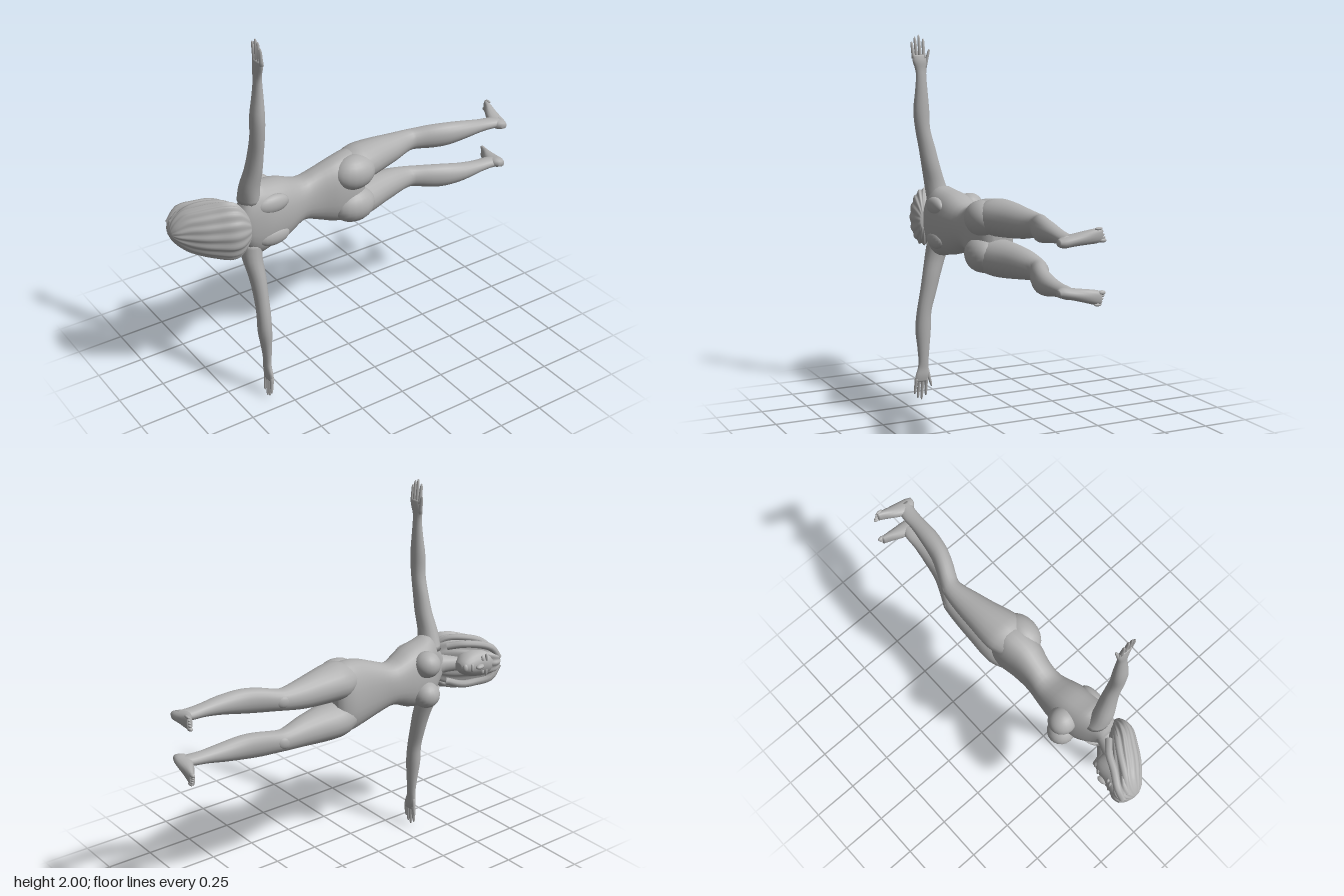
import * as THREE from 'three';

const skin = new THREE.MeshStandardMaterial({ color: 0xb0b0b0 });
skin.name = 'plain grey';

// Ring planes per axis, ordered so that faces point outwards
const AXES = { x: ['x', 'y', 'z'], y: ['y', 'z', 'x'], z: ['z', 'x', 'y'] };

// Smooth loft along an axis; each section is [t, aMin, aMax, bMin, bMax]
function loft(axis, sections, { sides = 20, steps = 3, power = 1, ripple = 0, waves = 0 } = {}) {
  const [T, A, B] = AXES[axis];
  const n = sections.length, rows = (n - 1) * steps, pos = [], idx = [];
  const at = (k, i) => sections[Math.max(0, Math.min(n - 1, i))][k];
  const value = (k, u) => {
    const i = Math.min(n - 2, Math.floor(u)), f = u - i;
    const p1 = at(k, i), p2 = at(k, i + 1);
    const m1 = (p2 - at(k, i - 1)) / 2, m2 = (at(k, i + 2) - p1) / 2;
    const f2 = f * f, f3 = f2 * f;
    return (2 * f3 - 3 * f2 + 1) * p1 + (f3 - 2 * f2 + f) * m1 + (3 * f2 - 2 * f3) * p2 + (f3 - f2) * m2;
  };
  const add = (t, a, b) => {
    const v = new THREE.Vector3();
    v[T] = t; v[A] = a; v[B] = b;
    pos.push(v.x, v.y, v.z);
  };
  const bend = (c) => Math.sign(c) * Math.abs(c) ** power;
  for (let r = 0; r <= rows; r++) {
    const [t, a0, a1, b0, b1] = [0, 1, 2, 3, 4].map((k) => value(k, r / steps));
    for (let s = 0; s < sides; s++) {
      const q = (s / sides) * Math.PI * 2;
      const w = 1 + ripple * (Math.cos(waves * q) - 0.6);
      add(t, (a0 + a1) / 2 + ((a1 - a0) / 2) * w * bend(Math.cos(q)), (b0 + b1) / 2 + ((b1 - b0) / 2) * w * bend(Math.sin(q)));
    }
  }
  for (let r = 0; r < rows; r++) for (let s = 0; s < sides; s++) {
    const i = r * sides + s, j = r * sides + ((s + 1) % sides);
    idx.push(i, j, i + sides, j, j + sides, i + sides);
  }
  // End caps
  for (const [k, row] of [[0, 0], [n - 1, rows]]) {
    const c = pos.length / 3;
    add(at(0, k), (at(1, k) + at(2, k)) / 2, (at(3, k) + at(4, k)) / 2);
    for (let s = 0; s < sides; s++) {
      const i = row * sides + s, j = row * sides + ((s + 1) % sides);
      if (row) idx.push(c, i, j); else idx.push(c, j, i);
    }
  }
  const g = new THREE.BufferGeometry();
  g.setAttribute('position', new THREE.Float32BufferAttribute(pos, 3));
  g.setIndex(idx);
  g.computeVertexNormals();
  return g;
}

const ball = (x, y, z, rx, ry, rz, tilt = 0) =>
  new THREE.SphereGeometry(1, 20, 14).scale(rx, ry, rz).rotateY(tilt).translate(x, y, z);

// Mirror a geometry across y = 1 and restore its winding
function mirrored(g) {
  const m = g.clone().scale(1, -1, 1).translate(0, 2, 0);
  const a = m.index.array;
  for (let i = 0; i < a.length; i += 3) [a[i], a[i + 1]] = [a[i + 1], a[i]];
  m.computeVertexNormals();
  return m;
}

export function createModel() {
  const model = new THREE.Group();
  model.name = 'figure';
  const put = (name, g) => {
    const mesh = new THREE.Mesh(g, skin);
    mesh.name = name;
    model.add(mesh);
  };
  const pair = (name, g) => { put(name + 'Upper', g); put(name + 'Lower', mirrored(g)); };

  // Torso, shoulders to hips
  put('torso', loft('x', [
    [-0.67, 0.94, 1.06, -0.02, 0.08],
    [-0.63, 0.86, 1.14, -0.035, 0.1],
    [-0.57, 0.81, 1.19, -0.075, 0.112],
    [-0.5, 0.82, 1.18, -0.11, 0.115],
    [-0.4, 0.84, 1.16, -0.12, 0.1],
    [-0.29, 0.885, 1.115, -0.11, 0.065],
    [-0.2, 0.86, 1.14, -0.097, 0.065],
    [-0.1, 0.825, 1.175, -0.1, 0.09],
    [0, 0.81, 1.19, -0.115, 0.09],
    [0.06, 0.83, 1.17, -0.1, 0.06],
    [0.085, 0.9, 1.1, -0.07, 0.02],
  ], { sides: 28, power: 0.85 }));
  pair('chest', ball(-0.472, 1.085, -0.105, 0.072, 0.07, 0.074, 0.3));
  pair('shoulderBlade', ball(-0.5, 1.09, 0.085, 0.09, 0.05, 0.035));
  pair('seatMuscle', ball(0.0, 1.093, 0.045, 0.12, 0.092, 0.087));

  // Legs
  pair('leg', loft('x', [
    [-0.06, 1.03, 1.16, -0.08, 0.06],
    [0.03, 1.005, 1.195, -0.122, 0.1],
    [0.1, 1.008, 1.198, -0.13, 0.09],
    [0.2, 1.015, 1.19, -0.125, 0.055],
    [0.3, 1.028, 1.177, -0.12, 0.025],
    [0.4, 1.05, 1.167, -0.11, -0.005],
    [0.45, 1.055, 1.17, -0.095, 0.008],
    [0.52, 1.055, 1.182, -0.062, 0.042],
    [0.6, 1.06, 1.185, -0.03, 0.07],
    [0.7, 1.077, 1.175, -0.01, 0.085],
    [0.8, 1.09, 1.157, 0.005, 0.085],
    [0.87, 1.092, 1.148, 0.008, 0.09],
    [0.925, 1.095, 1.145, 0.02, 0.1],
  ]));
  pair('kneecap', ball(0.42, 1.11, -0.085, 0.045, 0.035, 0.022, -0.2));

  // Feet with toes
  pair('foot', loft('z', [
    [-0.09, 0.94, 0.968, 1.112, 1.178],
    [-0.06, 0.925, 0.967, 1.105, 1.175],
    [-0.01, 0.895, 0.962, 1.1, 1.162],
    [0.04, 0.875, 0.957, 1.095, 1.15],
    [0.085, 0.88, 0.95, 1.09, 1.14],
    [0.112, 0.905, 0.938, 1.1, 1.13],
  ], { sides: 16, power: 0.9 }));
  for (let i = 0; i < 5; i++) {
    const r = i ? 0.0075 : 0.011;
    pair('toe' + (i + 1), ball(0.958, 1.12 + i * 0.0135, -0.094 + i * 0.005, r, r, 0.019));
  }

  // Arms
  pair('arm', loft('y', [
    [1.11, -0.05, 0.09, -0.65, -0.54],
    [1.2, -0.015, 0.102, -0.652, -0.552],
    [1.3, 0.02, 0.122, -0.635, -0.55],
    [1.4, 0.048, 0.14, -0.626, -0.553],
    [1.5, 0.076, 0.158, -0.626, -0.555],
    [1.6, 0.08, 0.168, -0.626, -0.556],
    [1.7, 0.09, 0.16, -0.612, -0.56],
    [1.78, 0.097, 0.155, -0.603, -0.565],
    [1.82, 0.095, 0.16, -0.602, -0.568],
    [1.86, 0.09, 0.174, -0.6, -0.568],
    [1.895, 0.1, 0.177, -0.597, -0.574],
  ], { sides: 16 }));

  // Fingers: [root z, tip z, tip height]; the thumb comes last
  const digits = [[0.168, 0.176, 1.965], [0.15, 0.158, 1.99], [0.13, 0.136, 2.0], [0.11, 0.11, 1.98], [0.105, 0.083, 1.925]];
  digits.forEach(([z0, z1, top], i) => {
    const base = i === 4 ? 1.825 : 1.875;
    const section = (f, r) => {
      const z = z0 + (z1 - z0) * f, x = -0.584 - (i === 4 ? -0.01 : 0.01) * f;
      return [base + (top - base) * f, z - r, z + r, x - r, x + r];
    };
    pair(i === 4 ? 'thumb' : 'finger' + (i + 1),
      loft('y', [section(0, 0.011), section(0.5, 0.009), section(0.88, 0.007), section(1, 0.002)], { sides: 8, steps: 2 }));
  });

  // Neck and head
  put('neck', loft('x', [
    [-0.8, 0.95, 1.05, -0.09, 0.03],
    [-0.72, 0.952, 1.048, -0.055, 0.06],
    [-0.65, 0.94, 1.06, -0.03, 0.085],
    [-0.6, 0.9, 1.1, -0.03, 0.08],
  ]));
  put('head', loft('x', [
    [-0.95, 0.97, 1.03, -0.12, -0.04],
    [-0.92, 0.93, 1.07, -0.152, 0.0],
    [-0.87, 0.915, 1.085, -0.158, 0.03],
    [-0.82, 0.92, 1.08, -0.145, 0.03],
    [-0.77, 0.938, 1.062, -0.137, 0.01],
    [-0.735, 0.962, 1.038, -0.122, -0.03],
    [-0.72, 0.98, 1.02, -0.1, -0.05],
  ], { sides: 24 }));
  put('nose', ball(-0.815, 1, -0.145, 0.03, 0.013, 0.018, 0.25));
  put('lips', ball(-0.77, 1, -0.132, 0.011, 0.024, 0.011));
  put('chin', ball(-0.738, 1, -0.113, 0.016, 0.022, 0.016));
  pair('eye', ball(-0.84, 1.035, -0.135, 0.011, 0.018, 0.012));
  pair('brow', ball(-0.86, 1.037, -0.143, 0.008, 0.026, 0.011));

  // Hair swept back, with strands as ripples
  put('hair', loft('x', [
    [-0.98, 0.988, 1.012, -0.1, -0.06],
    [-0.96, 0.945, 1.055, -0.15, -0.02],
    [-0.915, 0.895, 1.105, -0.168, 0.025],
    [-0.86, 0.87, 1.13, -0.135, 0.07],
    [-0.8, 0.852, 1.148, -0.09, 0.105],
    [-0.74, 0.84, 1.16, -0.04, 0.135],
    [-0.69, 0.855, 1.145, 0.005, 0.14],
    [-0.65, 0.91, 1.09, 0.05, 0.128],
    [-0.635, 0.955, 1.045, 0.08, 0.115],
  ], { sides: 96, ripple: 0.035, waves: 16 }));
  // Loose locks framing the face
  const lock = (points, r) => new THREE.TubeGeometry(
    new THREE.CatmullRomCurve3(points.map((p) => new THREE.Vector3(...p))), 16, r, 8);
  pair('faceLock', lock([[-0.95, 1.02, -0.14], [-0.9, 1.085, -0.135], [-0.83, 1.108, -0.095], [-0.76, 1.115, -0.06], [-0.7, 1.1, -0.005]], 0.02));
  pair('sideLock', lock([[-0.95, 1.04, -0.11], [-0.88, 1.11, -0.07], [-0.79, 1.135, -0.02], [-0.72, 1.13, 0.03], [-0.67, 1.085, 0.075]], 0.018));
  return model;
}
